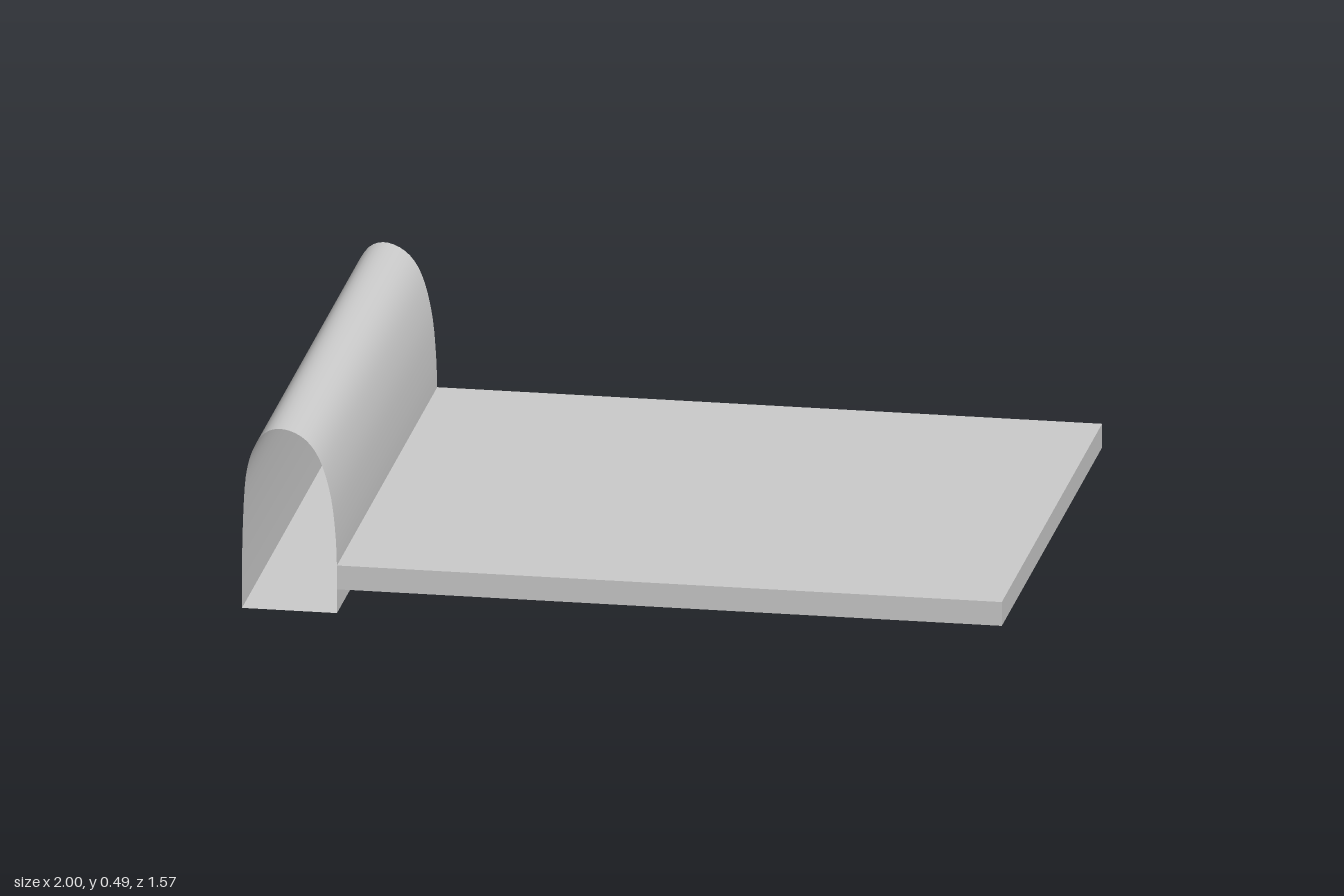
import * as THREE from 'three';

const FRONT = 0.785;

// z of the swept-back rear edge of the sleeve
function rearZ(x, y) {
  const base = -0.745 + 0.03 * (x + 1) / 0.25;
  const t = Math.max(0, (y - 0.12) / 0.375);
  return base - 0.053 * Math.pow(t, 1.7);
}

// Sheet running along z over a cross-section of [x, y] points
function sheet(points, material, name) {
  const pos = [], index = [];
  points.forEach((p, i) => {
    pos.push(p.x, p.y, FRONT, p.x, p.y, rearZ(p.x, p.y));
    if (i) {
      const a = 2 * i - 2;
      index.push(a, a + 2, a + 1, a + 1, a + 2, a + 3);
    }
  });
  const geo = new THREE.BufferGeometry();
  geo.setAttribute('position', new THREE.Float32BufferAttribute(pos, 3));
  geo.setIndex(index);
  geo.computeVertexNormals();
  const mesh = new THREE.Mesh(geo, material);
  mesh.name = name;
  return mesh;
}

export function createModel() {
  const model = new THREE.Group();
  model.name = 'panelWithSleeve';
  const grey = new THREE.MeshStandardMaterial({ color: 0xcccccc });
  const thin = new THREE.MeshStandardMaterial({ color: 0xcccccc, side: THREE.DoubleSide });

  // Flat panel
  const panel = new THREE.Mesh(new THREE.BoxGeometry(1.75, 0.065, 1.5), grey);
  panel.name = 'panel';
  panel.position.set(0.125, 0.0975, 0.035);
  model.add(panel);

  // Open-ended arched sleeve: two walls and a rounded, slightly lopsided top
  const arch = new THREE.SplineCurve([
    [-1, 0], [-1, 0.12], [-0.997, 0.25], [-0.99, 0.36], [-0.973, 0.43], [-0.943, 0.478],
    [-0.905, 0.494], [-0.86, 0.485], [-0.82, 0.455], [-0.789, 0.4],
    [-0.765, 0.31], [-0.753, 0.2], [-0.75, 0.1], [-0.75, 0],
  ].map(([x, y]) => new THREE.Vector2(x, y)));
  const sleeve = new THREE.Group();
  sleeve.name = 'sleeve';
  sleeve.add(sheet(arch.getPoints(39), thin, 'sleeveArch'));

  // Flat floor closing the sleeve underneath
  const floor = [new THREE.Vector2(-0.75, 0), new THREE.Vector2(-1, 0)];
  sleeve.add(sheet(floor, thin, 'sleeveFloor'));
  model.add(sleeve);

  return model;
}
